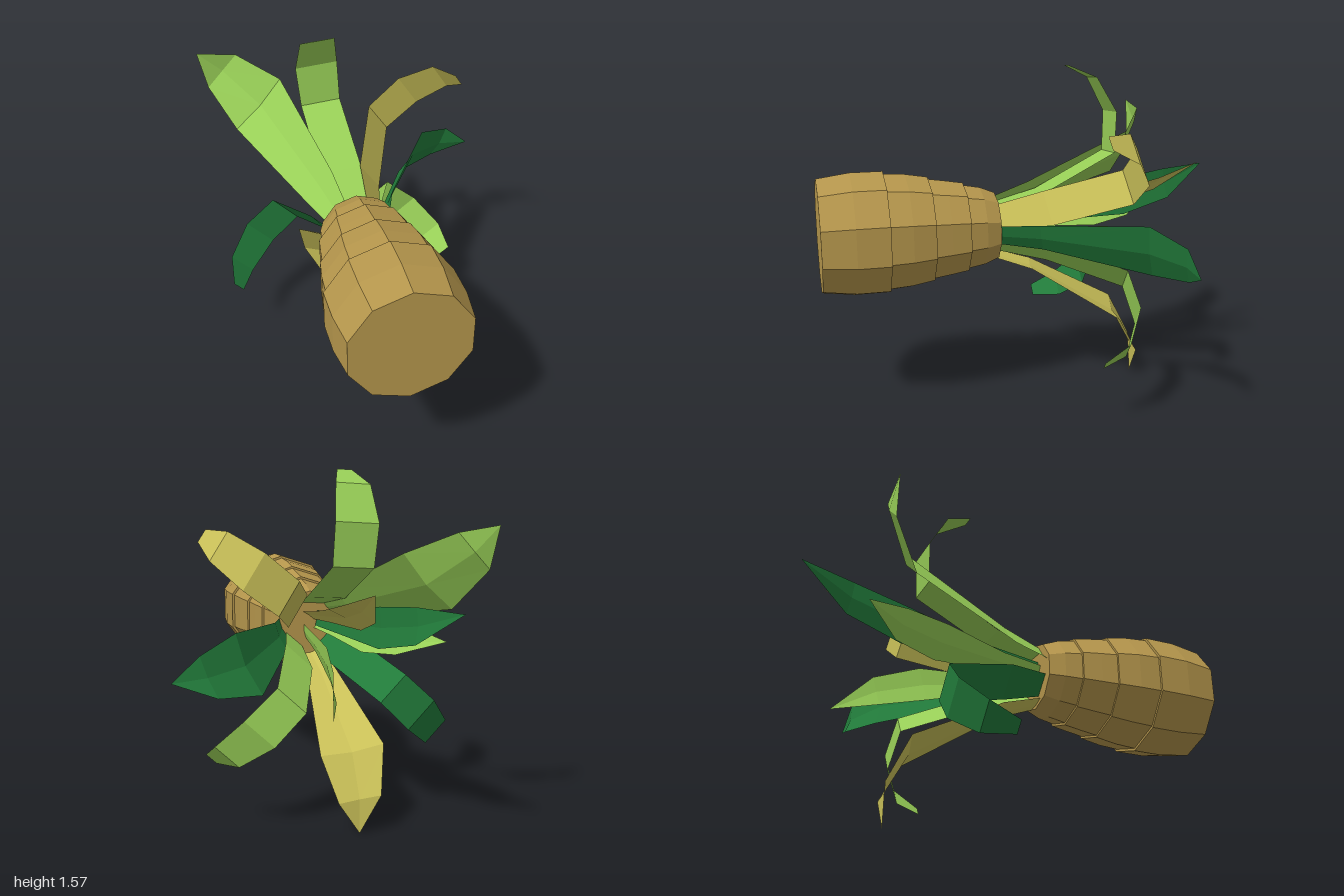
import * as THREE from 'three';

const CX = -0.12, CY = 0.8175; // trunk axis, running along z

function makeMaterial(name, color, side) {
  const m = new THREE.MeshStandardMaterial({ color, flatShading: true, side });
  m.name = name;
  return m;
}

// Leaf from rings [radius, z, width] laid out along a radial direction.
// fold pushes the midrib away from the edges to form a shallow V;
// roll (degrees) turns the blade about its own length.
function leafGeometry(degrees, rings, fold, roll) {
  const a = THREE.MathUtils.degToRad(degrees), t = THREE.MathUtils.degToRad(roll);
  const out = new THREE.Vector3(Math.cos(a), Math.sin(a), 0);
  const first = rings[0], last = rings[rings.length - 1];
  const along = out.clone().multiplyScalar(last[0] - first[0]);
  along.z = last[1] - first[1];
  const across = new THREE.Vector3(-out.y, out.x, 0).applyAxisAngle(along.normalize(), t);
  const pos = [], index = [];
  rings.forEach(([r, z, w], i) => {
    const p = rings[Math.max(i - 1, 0)], n = rings[Math.min(i + 1, rings.length - 1)];
    const tangent = out.clone().multiplyScalar(n[0] - p[0]);
    tangent.z = n[1] - p[1];
    const rib = across.clone().cross(tangent).normalize().multiplyScalar(-fold * w);
    for (let k = -1; k <= 1; k++) {
      const v = new THREE.Vector3(CX, CY, z).addScaledVector(out, r).addScaledVector(across, k * w / 2);
      if (k === 0) v.add(rib);
      pos.push(v.x, v.y, v.z);
    }
    if (i === 0) return;
    for (let k = 0; k < 2; k++) {
      const b = i * 3 + k, c = b - 3;
      index.push(c, c + 1, b + 1);
      if (w > 0) index.push(c, b + 1, b);
    }
  });
  const g = new THREE.BufferGeometry();
  g.setAttribute('position', new THREE.Float32BufferAttribute(pos, 3));
  g.setIndex(index);
  g.computeVertexNormals();
  return g;
}

export function createModel() {
  const group = new THREE.Group();
  const bark = makeMaterial('bark', 0xb5964c, THREE.FrontSide);
  const lime = makeMaterial('lime green', 0x98cf57, THREE.DoubleSide);
  const olive = makeMaterial('olive yellow', 0xc9c058, THREE.DoubleSide);
  const deep = makeMaterial('deep green', 0x227c3b, THREE.DoubleSide);

  const add = (name, geometry, material) => {
    const mesh = new THREE.Mesh(geometry, material);
    mesh.name = name;
    group.add(mesh);
  };

  // Stepped ten-sided trunk, capped at both ends
  const profile = [
    [0, 0.18], [0.162, 0.18], [0.19, 0.25], [0.205, 0.33],
    [0.216, 0.33], [0.231, 0.42], [0.242, 0.495],
    [0.252, 0.495], [0.27, 0.6], [0.277, 0.7],
    [0.289, 0.7], [0.289, 0.85], [0.268, 1], [0, 1],
  ].map(([r, y]) => new THREE.Vector2(r, y));
  const trunk = new THREE.LatheGeometry(profile, 10);
  trunk.rotateX(Math.PI / 2);
  trunk.translate(CX, CY, 0);
  add('trunk', trunk, bark);

  // Curled leaves with blunt tips: [name, material, angle, length scale, width scale, z shift, roll]
  const curl = [
    [0.1, 0.2, 0.12], [0.16, -0.05, 0.19], [0.335, -0.395, 0.19],
    [0.53, -0.405, 0.2], [0.695, -0.315, 0.16], [0.755, -0.185, 0.07],
  ];
  [
    ['topCurledLeaf', lime, 93.7, 0.993, 1, 0, 0],
    ['upperLeftCurledLeaf', olive, 38, 1.005, 0.93, 0, 8],
    ['lowerLeftCurledLeaf', lime, -43, 1.035, 0.9, 0, 8],
    ['lowerRightCurledLeaf', deep, 224, 0.96, 0.9, 0.04, 0],
  ].forEach(([name, mat, angle, l, s, dz, roll]) => {
    const rings = curl.map(([r, z, w], i) => [r * l, i ? z + dz : z, w * s]);
    add(name, leafGeometry(angle, rings, 0, roll), mat);
  });

  // Broad pointed leaves spreading outward
  const broad = [
    [0.13, 0.2, 0.1], [0.2, 0, 0.14], [0.465, -0.44, 0.285],
    [0.66, -0.54, 0.19], [0.8175, -0.53, 0],
  ];
  add('bottomBroadLeaf', leafGeometry(269, broad, 0.07, 11), olive);
  add('leftBroadLeaf', leafGeometry(-7, broad.map(([r, z, w]) => [r * 0.98, z, w]), 0.07, 19), deep);
  add('rightBroadLeaf', leafGeometry(137, [
    [0.12, 0.2, 0.12], [0.18, 0, 0.19], [0.41, -0.55, 0.335],
    [0.61, -0.68, 0.215], [0.765, -0.685, 0],
  ], -0.06, 0), lime);

  // Slender inner leaves pointing backward: [name, material, angle, tip radius, tip z, width]
  [
    ['rightInnerLeaf', deep, 141, 0.33, -1, 0.18],
    ['topInnerLeaf', olive, 80, 0.275, -0.84, 0.17],
    ['lowerInnerLeaf', lime, -54, 0.305, -0.74, 0.17],
    ['sideInnerLeaf', lime, 171, 0.32, -0.72, 0.17],
  ].forEach(([name, mat, angle, r, z, w]) => {
    const at = (t) => 0.2 + (z - 0.2) * t;
    add(name, leafGeometry(angle, [
      [0.04, 0.2, w * 0.4], [0.07, at(0.25), w * 0.55], [r * 0.4, at(0.58), w],
      [r * 0.62, at(0.8), w * 0.85], [r, z, 0],
    ], 0.06, -45), mat);
  });

  return group;
}
